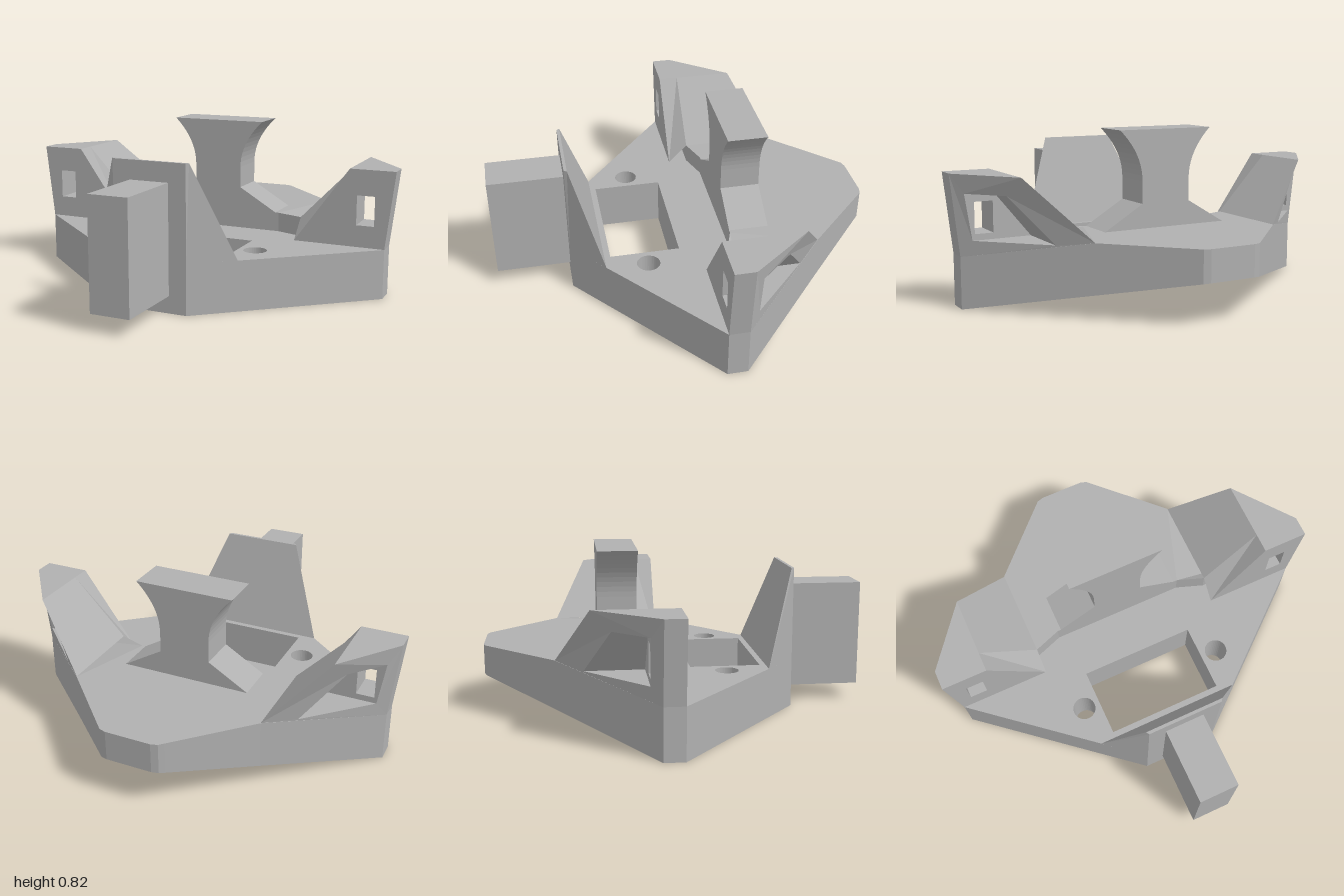
import * as THREE from 'three';

const grey = new THREE.MeshStandardMaterial({ color: 0xb0b0b0, side: THREE.DoubleSide });
grey.name = 'plain grey';

function part(name, geometry) {
  const mesh = new THREE.Mesh(geometry, grey);
  mesh.name = name;
  return mesh;
}

// Flat polygons (corner lists, counter-clockwise from outside) joined into one geometry
function fromFaces(faces) {
  const pos = [];
  for (const f of faces) {
    for (let i = 1; i < f.length - 1; i++) pos.push(...f[0], ...f[i], ...f[i + 1]);
  }
  const g = new THREE.BufferGeometry();
  g.setAttribute('position', new THREE.Float32BufferAttribute(pos, 3));
  g.computeVertexNormals();
  return g;
}

const shapeOf = (pts) => new THREE.Shape(pts.map(([x, y]) => new THREE.Vector2(x, y)));

// Slab from a plan outline of [x, z]; the underside rises towards the back
function slab(plan, height, holes = [], outerHeight = height) {
  const shape = shapeOf(plan.map(([x, z]) => [x, -z]));
  shape.holes.push(...holes);
  const g = new THREE.ExtrudeGeometry(shape, { depth: height, bevelEnabled: false, curveSegments: 20 });
  g.rotateX(-Math.PI / 2);
  const p = g.attributes.position;
  for (let i = 0; i < p.count; i++) {
    const z = p.getZ(i);
    if (p.getY(i) < 0.001) p.setY(i, Math.max(0, (-0.15 - z) * 0.2 / 0.817));
    else if (Math.abs(p.getX(i)) > 0.9) p.setY(i, outerHeight);
  }
  g.computeVertexNormals();
  return g;
}

const mirrorX = (pts) => pts.map(([x, z]) => [-x, z]).reverse();

function createTower(name) {
  const tower = new THREE.Group();
  tower.name = name;
  const zf = -0.05, zp = -0.2;
  // Outer wall corners, pocket opening and pocket back corners
  const D = [0.955, 0.25, -0.15], A = [0.49, 0.35, -0.61], B = [0.77, 0.64, -0.45], C = [1, 0.64, -0.15];
  const P1 = [0.912, 0.33, zp], P2 = [0.947, 0.55, zp], P3 = [0.806, 0.55, -0.36], P4 = [0.623, 0.33, -0.48];
  const Q3 = [0.806, 0.55, zp], Q4 = [0.623, 0.33, zp];
  const topFront = [0.77, 0.64, zf], topMid = [0.77, 0.64, -0.15];
  const footFront = [0.49, 0.25, zf], footMid = [0.49, 0.35, -0.15];

  tower.add(part('towerShell', fromFaces([
    [[0.955, 0.25, zf], D, C, [1, 0.64, zf]],
    [topFront, [1, 0.64, zf], C, B],
    [topMid, B, A, footMid],
    [topMid, footMid, footFront],
    [topMid, footFront, topFront],
    [D, A, P4, P1], [A, B, P3, P4], [B, C, P2, P3], [C, D, P1, P2],
  ])));
  tower.add(part('sidePocket', fromFaces([
    [P1, P4, Q4], [P2, Q3, P3], [P4, P3, Q3, Q4],
  ])));

  // Rectangular window running from the front into the pocket
  const win = [[0.81, 0.36], [0.9, 0.36], [0.9, 0.51], [0.81, 0.51]];
  const pierced = (pts) => {
    const s = shapeOf(pts);
    s.holes.push(shapeOf(win));
    return new THREE.ShapeGeometry(s);
  };
  const front = part('towerFront', pierced([[0.49, 0.25], [0.955, 0.25], [1, 0.64], [0.77, 0.64]]));
  front.position.z = zf;
  const inner = part('pocketWall', pierced([Q4, P1, P2, Q3]));
  inner.position.z = zp;
  const sides = win.map(([x, y], i) => {
    const [u, v] = win[(i + 1) % 4];
    return [[x, y, zf], [u, v, zf], [u, v, zp], [x, y, zp]];
  });
  tower.add(front, inner, part('windowSides', fromFaces(sides)));
  return tower;
}

export function createModel() {
  const model = new THREE.Group();
  model.name = 'mountingBracket';

  // Front base plate with a rectangular opening and two round holes
  const step = [[0.955, -0.15], [0.49, -0.15], [0.35, -0.2]];
  const frontHalf = [[0.19, 0.59], [0.955, -0.05], ...step];
  const opening = shapeOf([[-0.3, -0.05], [0.3, -0.05], [0.3, -0.4], [-0.3, -0.4]]);
  const screwHoles = [-1, 1].map((s) => new THREE.Path().absarc(s * 0.385, -0.22, 0.058, 0, Math.PI * 2));
  model.add(part('basePlate', slab([...frontHalf, ...mirrorX(frontHalf)], 0.25, [opening, ...screwHoles])));

  // Raised rear deck with a rounded tail
  const rearHalf = [...step.slice().reverse(), [0.49, -0.612], [0.17, -0.935], [0.148, -0.957], [0.115, -0.967]];
  model.add(part('rearDeck', slab([...rearHalf, ...mirrorX(rearHalf)], 0.35, [], 0.25)));

  // Side towers
  const left = createTower('leftTower');
  const right = createTower('rightTower');
  right.scale.x = -1;
  model.add(left, right);

  // Wedge-shaped front plate
  const a = [0.19, 0.25, 0.59], b = [0.381, 0.25, 0.43], c = [0.19, 0.72, 0.59], d = [0.2, 0.72, 0.575];
  const m = ([x, y, z]) => [-x, y, z];
  model.add(part('frontWedge', fromFaces([
    [m(a), a, c, m(c)], [a, b, d, c], [m(c), m(d), m(b), m(a)],
    [b, m(b), m(d), d], [c, d, m(d), m(c)],
  ])));

  // Block on the nose
  const block = part('noseBlock', new THREE.BoxGeometry(0.2, 0.54, 0.38));
  block.position.set(0, 0.355, 0.775);
  model.add(block);

  // Spool-shaped post on the rear deck
  const s = new THREE.Shape();
  s.moveTo(-0.34, 0.345);
  s.lineTo(0.34, 0.345);
  s.lineTo(0.13, 0.47);
  s.lineTo(0.13, 0.58);
  s.quadraticCurveTo(0.13, 0.71, 0.25, 0.825);
  s.lineTo(-0.25, 0.825);
  s.quadraticCurveTo(-0.13, 0.71, -0.13, 0.58);
  s.lineTo(-0.13, 0.47);
  const post = part('post', new THREE.ExtrudeGeometry(s, { depth: 0.2, bevelEnabled: false, curveSegments: 10 }));
  post.position.z = -0.4;
  model.add(post);

  return model;
}
